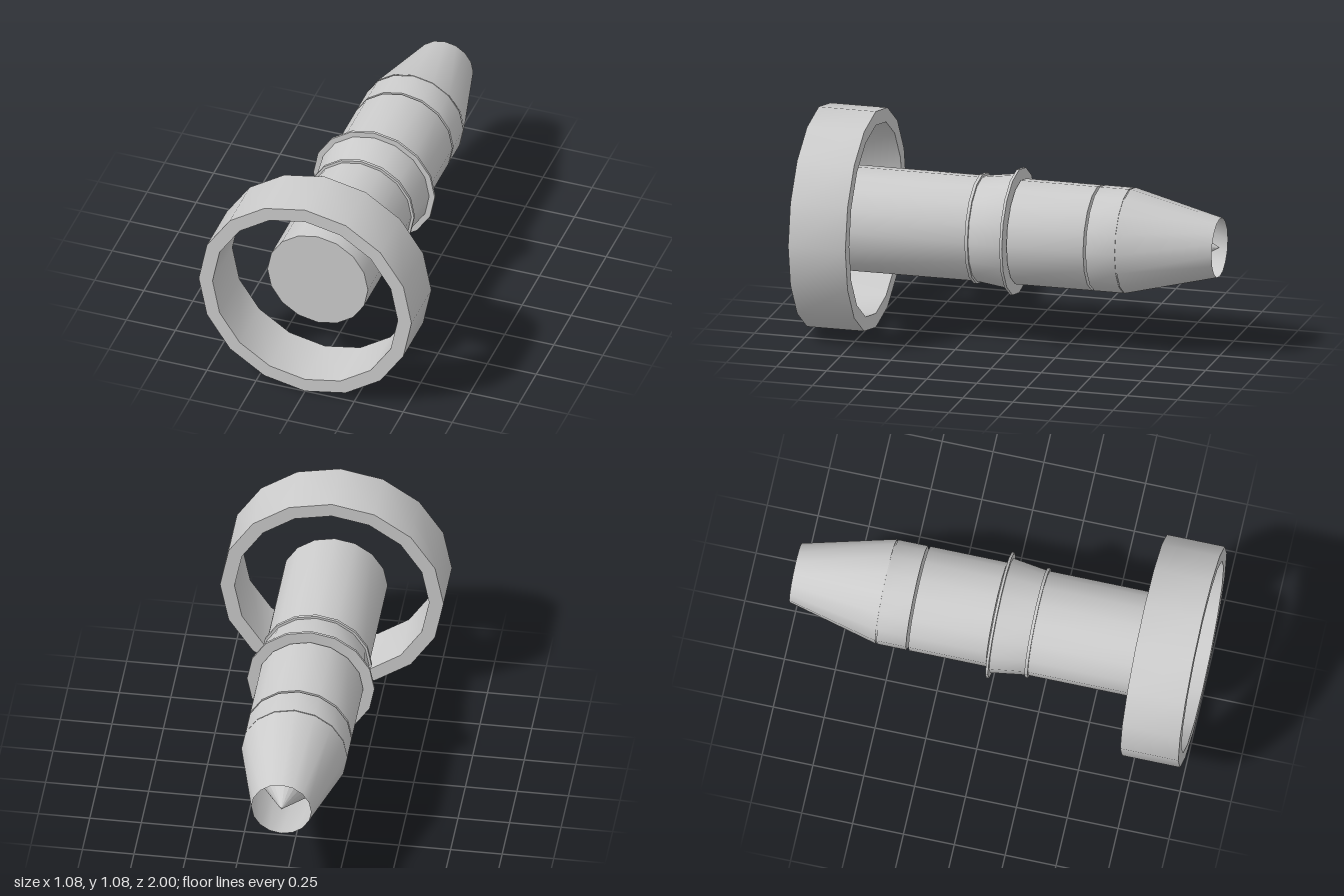
import * as THREE from 'three';
import { toCreasedNormals } from 'three/addons/utils/BufferGeometryUtils.js';

const SIDES = 16;
const AXIS_Y = 0.543; // height of the long axis

export function createModel() {
  const model = new THREE.Group();
  const solid = new THREE.MeshStandardMaterial({ color: 0xcccccc });
  const sheet = new THREE.MeshStandardMaterial({ color: 0xcccccc, side: THREE.DoubleSide });

  // Revolve [radius, z] pairs around the long axis, smooth around, sharp at the rims
  function revolve(name, profile, material = solid) {
    const points = profile.map(([r, z]) => new THREE.Vector2(r, z));
    const geometry = new THREE.LatheGeometry(points, SIDES).rotateX(Math.PI / 2);
    const mesh = new THREE.Mesh(toCreasedNormals(geometry, Math.PI / 6), material);
    mesh.name = name;
    mesh.position.y = AXIS_Y;
    model.add(mesh);
  }

  // Capped drum between two z positions, optionally tapered
  const drum = (name, z0, z1, r0, r1 = r0) =>
    revolve(name, [[0, z0], [r0, z0], [r1, z1], [0, z1]]);

  // Wide hollow ring floating around the front end
  revolve('frontRing', [[0.472, 0.715], [0.542, 0.715], [0.542, 1], [0.472, 1], [0.472, 0.715]], sheet);

  // Body sections from front to back, with narrow gaps between them
  drum('frontBody', 0.19, 0.82, 0.256);
  drum('collar', 0.183, 0.198, 0.269);
  drum('flaredAdapter', 0.012, 0.183, 0.281, 0.257);
  drum('flange', 0, 0.013, 0.309);
  drum('middleBody', -0.39, -0.008, 0.256);
  drum('rearBody', -0.547, -0.402, 0.256);
  drum('seam', -0.554, -0.546, 0.252);

  // Open tapered nose with a pointed cone inside it
  revolve('noseShell', [[0.145, -1], [0.257, -0.553]], sheet);
  revolve('innerCone', [[0, -1], [0.255, -0.553], [0, -0.553]], sheet);

  return model;
}
